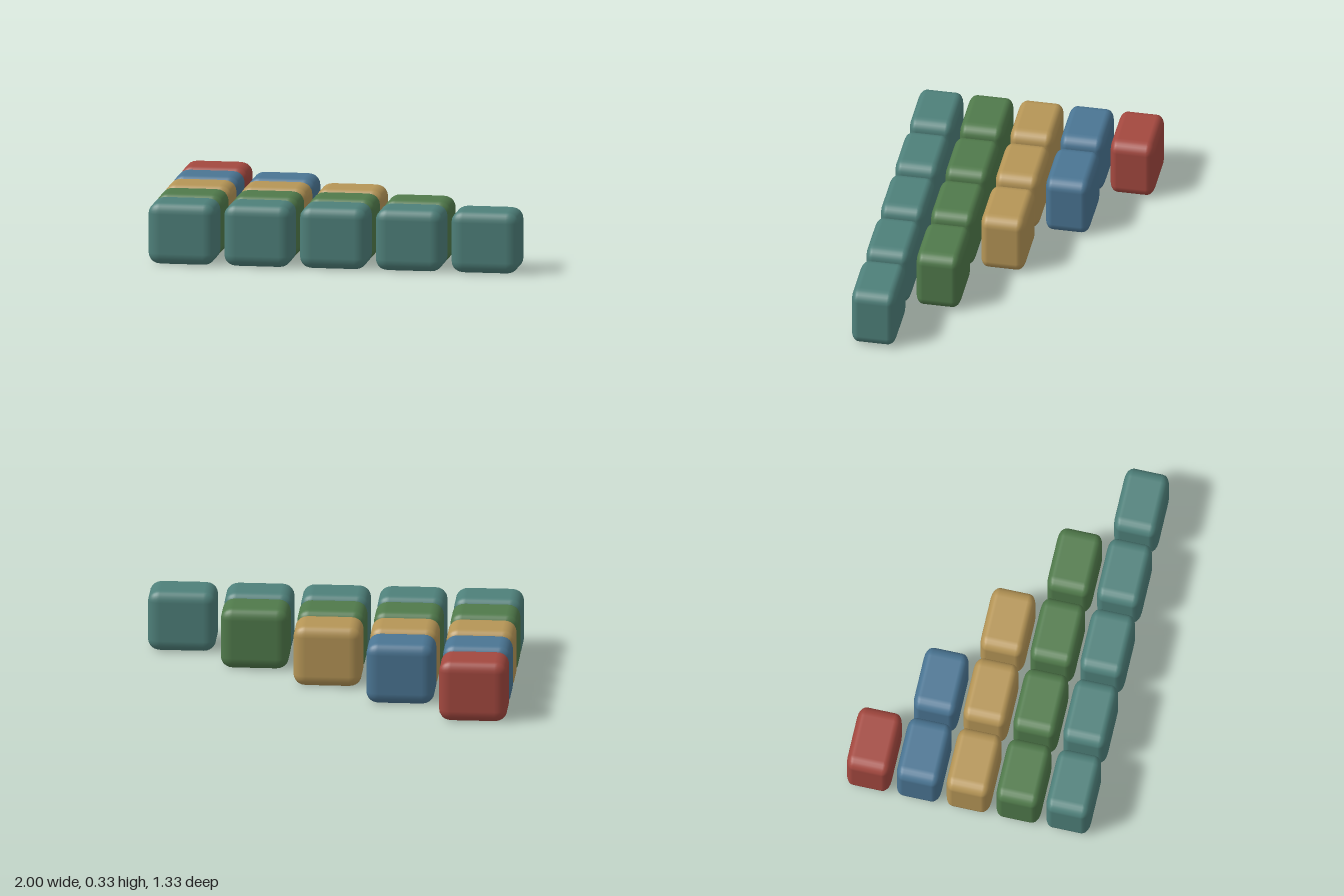
import * as THREE from 'three';
import { RoundedBoxGeometry } from 'three/addons/geometries/RoundedBoxGeometry.js';

const PITCH_X = 0.409, PITCH_Z = 0.2725;
const SIZE = [0.363, 0.333, 0.242];

function material(name, color) {
  const m = new THREE.MeshStandardMaterial({ color });
  m.name = name;
  return m;
}

export function createModel() {
  const group = new THREE.Group();
  group.name = 'blockStaircase';

  // One soft-edged unit cube, stretched so the rounding follows each side
  const block = new RoundedBoxGeometry(1, 1, 1, 3, 0.18);
  block.scale(...SIZE);

  // Rows from back to front, each one block longer than the last
  const rows = [
    material('red', 0xa3483f),
    material('blue', 0x4a7593),
    material('gold', 0xb59556),
    material('green', 0x507a4b),
    material('teal', 0x4e807a),
  ];
  rows.forEach((mat, r) => {
    const row = new THREE.Group();
    row.name = mat.name + 'Row';
    row.position.set(0, SIZE[1] / 2, (r - 2) * PITCH_Z);
    for (let c = 0; c <= r; c++) {
      const mesh = new THREE.Mesh(block, mat);
      mesh.name = mat.name + 'Block' + (c + 1);
      mesh.position.x = (c - 2) * PITCH_X;
      row.add(mesh);
    }
    group.add(row);
  });
  return group;
}
